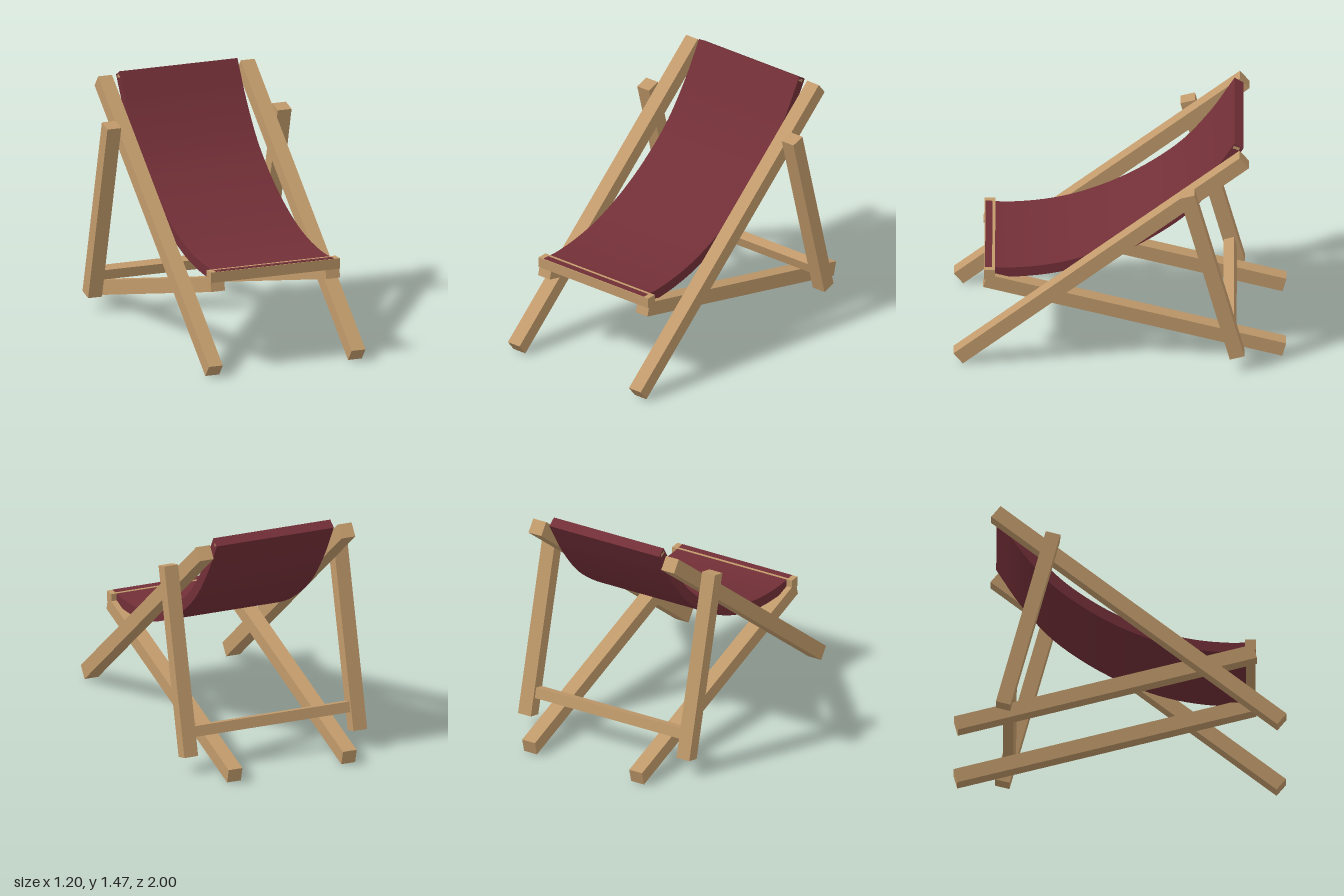
import * as THREE from 'three';
import { toCreasedNormals } from 'three/addons/utils/BufferGeometryUtils.js';

export function createModel() {
  const chair = new THREE.Group();
  chair.name = 'deckChair';

  const wood = new THREE.MeshStandardMaterial({ color: 0xc19a6b });
  wood.name = 'wood';
  const fabric = new THREE.MeshStandardMaterial({ color: 0x722f37 });
  fabric.name = 'wine fabric';

  const add = (name, geometry, material) => {
    const mesh = new THREE.Mesh(geometry, material);
    mesh.name = name;
    chair.add(mesh);
    return mesh;
  };

  // Square beam in the side plane between two [z, y] points, one per side
  const THICK = 0.09;
  const beamPair = (name, x, [z0, y0], [z1, y1]) => {
    const length = Math.hypot(z1 - z0, y1 - y0);
    for (const side of [1, -1]) {
      const beam = add((side > 0 ? 'left' : 'right') + name,
        new THREE.BoxGeometry(THICK, length, THICK), wood);
      beam.position.set(side * x, (y0 + y1) / 2, (z0 + z1) / 2);
      beam.rotation.x = Math.atan2(z1 - z0, y1 - y0);
    }
  };
  beamPair('BackRail', 0.465, [0.971, 0.035], [-0.748, 1.407]);
  beamPair('SeatRail', 0.375, [0.809, 0.526], [-0.988, 0.046]);
  beamPair('PropStrut', 0.555, [-0.405, 1.223], [-0.705, 0.095]);

  // Bars running across the frame
  const crossbar = (name, width, height, depth, y, z, tilt) => {
    const bar = add(name, new THREE.BoxGeometry(width, height, depth), wood);
    bar.position.set(0, y, z);
    bar.rotation.x = tilt;
  };
  crossbar('frontCrossbar', 0.84, 0.065, 0.065, 0.569, 0.782, 0);
  crossbar('propCrossbar', 1.03, 0.065, 0.065, 0.235, -0.662, Math.atan2(0.3, 1.128));
  crossbar('topCrossbar', 0.768, 0.02, 0.04, 1.437, -0.7, -0.35);

  // Sagging sling: a curve in the side plane thickened to both sides
  const curve = new THREE.CatmullRomCurve3([
    [0.811, 0.573], [0.68, 0.565], [0.45, 0.585], [0.247, 0.633], [0, 0.735],
    [-0.22, 0.868], [-0.405, 1.02], [-0.58, 1.235], [-0.665, 1.37], [-0.715, 1.452],
  ].map(([z, y]) => new THREE.Vector3(z, y, 0)));
  const upper = [];
  const lower = [];
  const STEPS = 36;
  for (let i = 0; i <= STEPS; i++) {
    const p = curve.getPointAt(i / STEPS);
    const t = curve.getTangentAt(i / STEPS);
    const nz = t.y * 0.032;
    const ny = -t.x * 0.032;
    upper.push(new THREE.Vector2(p.x + nz, p.y + ny));
    lower.push(new THREE.Vector2(p.x - nz, p.y - ny));
  }
  const WIDTH = 0.768;
  const slingGeometry = new THREE.ExtrudeGeometry(
    new THREE.Shape([...upper, ...lower.reverse()]),
    { depth: WIDTH, bevelEnabled: false });
  slingGeometry.translate(0, 0, -WIDTH / 2);
  slingGeometry.rotateY(-Math.PI / 2);
  add('sling', toCreasedNormals(slingGeometry, 0.6), fabric);

  return chair;
}
